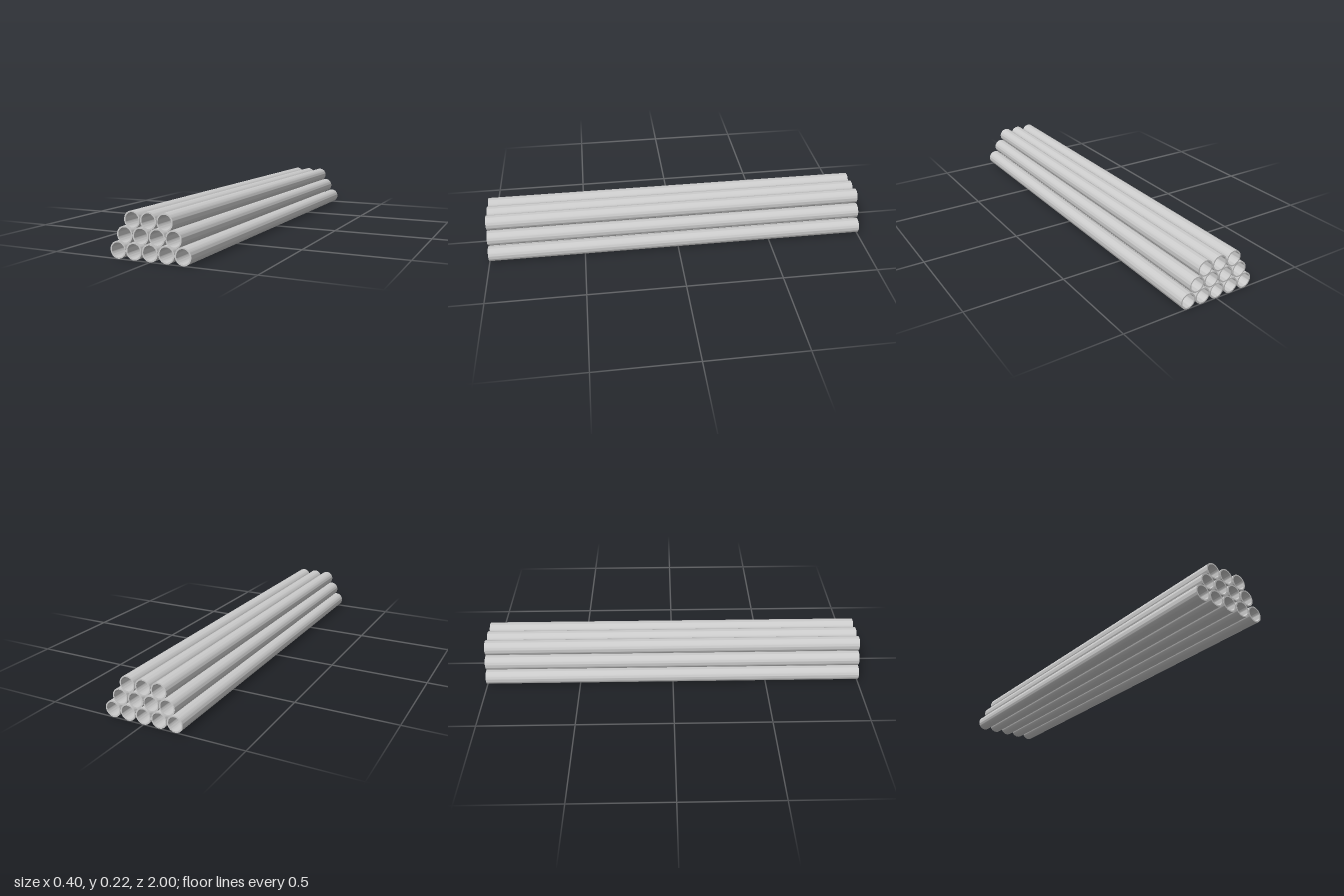
import * as THREE from 'three';
import { toCreasedNormals } from 'three/addons/utils/BufferGeometryUtils.js';

const LENGTH = 2, OUTER = 0.0397, INNER = 0.033, PITCH = 0.0807;

// Hollow tube along z, smooth walls with sharp end rims
function pipeGeometry() {
  const ring = new THREE.Shape().absarc(0, 0, OUTER, 0, Math.PI * 2);
  ring.holes.push(new THREE.Path().absarc(0, 0, INNER, 0, Math.PI * 2, true));
  const geometry = new THREE.ExtrudeGeometry(ring, { depth: LENGTH, bevelEnabled: false, curveSegments: 48 });
  geometry.translate(0, 0, -LENGTH / 2);
  return toCreasedNormals(geometry, Math.PI / 5);
}

export function createModel() {
  const model = new THREE.Group();
  model.name = 'pipeStack';
  const geometry = pipeGeometry();
  const material = new THREE.MeshStandardMaterial({ color: 0xcccccc });

  // Rows from the ground up; the upper rows nest slightly off centre
  const rows = [
    { name: 'bottomRow', count: 5, x: 0, y: 0.0405 },
    { name: 'middleRow', count: 4, x: -0.004, y: 0.1096 },
    { name: 'topRow', count: 3, x: -0.0055, y: 0.178 },
  ];
  for (const { name, count, x, y } of rows) {
    const row = new THREE.Group();
    row.name = name;
    row.position.set(x, y, 0);
    for (let i = 0; i < count; i++) {
      const pipe = new THREE.Mesh(geometry, material);
      pipe.name = 'pipe';
      pipe.position.x = (i - (count - 1) / 2) * PITCH;
      row.add(pipe);
    }
    model.add(row);
  }
  return model;
}
